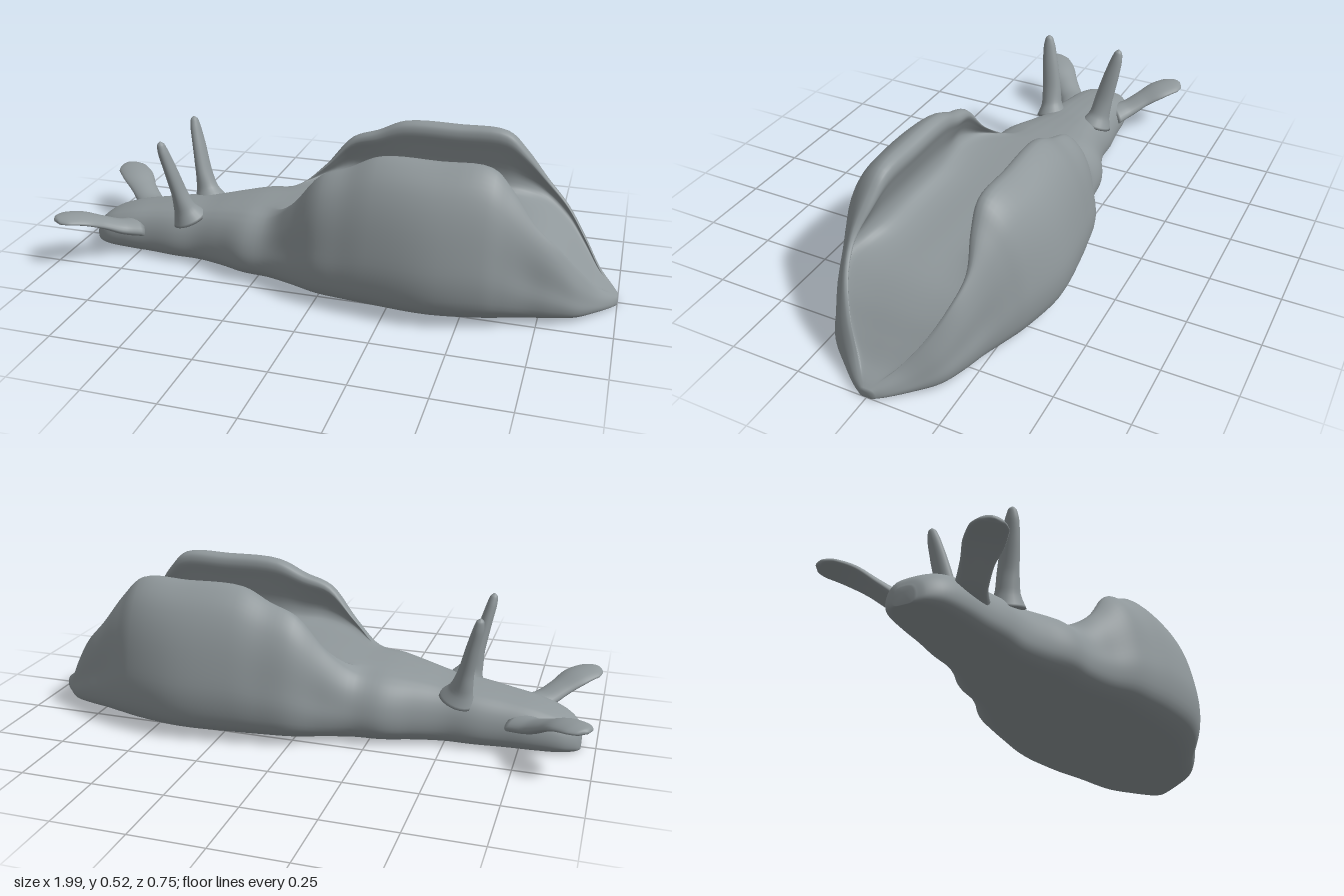
import * as THREE from 'three';

const skin = new THREE.MeshStandardMaterial({ color: 0x8f979a });
skin.name = 'grey skin';

// Closed smooth skin over rings of points, each end closed to its centre
function loft(rings) {
  const n = rings[0].length, pos = [], idx = [];
  rings.forEach(r => r.forEach(p => pos.push(p.x, p.y, p.z)));
  for (let i = 0; i < rings.length - 1; i++) {
    for (let j = 0; j < n; j++) {
      const a = i * n + j, b = i * n + (j + 1) % n;
      idx.push(a, a + n, b, b, a + n, b + n);
    }
  }
  const last = (rings.length - 1) * n;
  [rings[0], rings[rings.length - 1]].forEach((r, end) => {
    const c = r.reduce((s, p) => s.add(p), new THREE.Vector3()).divideScalar(n);
    const k = pos.length / 3;
    pos.push(c.x, c.y, c.z);
    for (let j = 0; j < n; j++) {
      const a = end * last + j, b = end * last + (j + 1) % n;
      if (end) idx.push(k, b, a); else idx.push(k, a, b);
    }
  });
  const g = new THREE.BufferGeometry();
  g.setAttribute('position', new THREE.Float32BufferAttribute(pos, 3));
  g.setIndex(idx);
  g.computeVertexNormals();
  return g;
}

// Half outline of a plain domed section: [z / width, y / height]
const dome = [[0, 0], [0.5, 0], [0.8, 0.06], [0.96, 0.2], [1, 0.38], [0.96, 0.58], [0.87, 0.74], [0.76, 0.85],
  [0.66, 0.91], [0.58, 0.945], [0.5, 0.965], [0.42, 0.98], [0.34, 0.99], [0.25, 0.995], [0.14, 1], [0, 1]];
// Outer flap: [z / width, y / top]; flap rim: [z from lip to width, y / top]; inside: [z / lip, y from floor to top]
const outer = [[0, 0], [0.53, 0.005], [0.8, 0.04], [0.95, 0.13], [1, 0.3], [0.965, 0.5]];
const rim = [[0.76, 0.75], [0.52, 0.91], [0.2, 1], [0.04, 0.985]];
const inside = [[1, 0.85], [1.1, 0.66], [1.24, 0.34], [1.17, 0.13], [0.85, 0.02], [0, 0]];

// Body stations: x, half width, flap top, floor height, lip z, flap amount
const stations = [
  [-0.95, 0.035, 0.055, 0.055, 0.02, 0],
  [-0.935, 0.065, 0.085, 0.085, 0.04, 0],
  [-0.89, 0.1, 0.118, 0.118, 0.07, 0],
  [-0.8, 0.12, 0.15, 0.15, 0.1, 0],
  [-0.7, 0.13, 0.17, 0.17, 0.1, 0],
  [-0.6, 0.145, 0.187, 0.187, 0.1, 0],
  [-0.5, 0.15, 0.2, 0.2, 0.12, 0],
  [-0.4, 0.18, 0.222, 0.222, 0.14, 0],
  [-0.3, 0.222, 0.24, 0.24, 0.17, 0],
  [-0.2, 0.235, 0.255, 0.25, 0.18, 0.15],
  [-0.1, 0.27, 0.34, 0.262, 0.18, 0.75],
  [0, 0.32, 0.43, 0.27, 0.175, 1],
  [0.1, 0.342, 0.47, 0.272, 0.165, 1],
  [0.2, 0.36, 0.515, 0.272, 0.155, 1],
  [0.4, 0.377, 0.52, 0.272, 0.155, 1],
  [0.57, 0.342, 0.515, 0.272, 0.155, 1],
  [0.64, 0.31, 0.45, 0.268, 0.17, 1],
  [0.72, 0.268, 0.345, 0.245, 0.195, 1],
  [0.8, 0.236, 0.27, 0.195, 0.18, 0.9],
  [0.87, 0.195, 0.185, 0.13, 0.14, 0.7],
  [0.93, 0.125, 0.105, 0.075, 0.08, 0.4],
  [0.98, 0.06, 0.052, 0.045, 0.03, 0.1],
  [1, 0.025, 0.03, 0.03, 0.01, 0],
];

function bodyRing([x, w, top, floor, lip, k]) {
  const flap = [
    ...outer.map(([z, y]) => [z * w, y * top]),
    ...rim.map(([z, y]) => [lip + z * (w - lip), y * top]),
    ...inside.map(([z, y]) => [lip * z, floor + y * (top - floor)]),
  ];
  const half = dome.map(([z, y], i) => new THREE.Vector3(x,
    THREE.MathUtils.lerp(y * floor, flap[i][1], k),
    THREE.MathUtils.lerp(z * w, flap[i][0], k)));
  const mirrored = half.slice(1, -1).reverse().map(p => new THREE.Vector3(p.x, p.y, -p.z));
  const curve = new THREE.CatmullRomCurve3([...half, ...mirrored], true);
  return curve.getPoints(120).slice(0, 120);
}

function bodyGeometry() {
  const rings = stations.map(bodyRing);
  const lines = rings[0].map((_, j) => new THREE.CatmullRomCurve3(rings.map(r => r[j])).getPoints(110));
  return loft(lines[0].map((_, i) => lines.map(l => {
    l[i].y = Math.max(0, l[i].y);
    return l[i];
  })));
}

// Tapered flattened lobe; each point is [x, y, z, half width, half thickness], bend cups the blade
function lobe(points, side, bend) {
  const path = new THREE.CatmullRomCurve3(points.map(p => new THREE.Vector3(p[0], p[1], p[2])));
  const size = new THREE.CatmullRomCurve3(points.map(p => new THREE.Vector3(p[3], p[4], 0)));
  const rings = [];
  for (let i = 0; i <= 32; i++) {
    const t = i / 32, c = path.getPoint(t), s = size.getPoint(t), dir = path.getTangent(t);
    const u = side.clone().addScaledVector(dir, -side.dot(dir)).normalize();
    const v = dir.clone().cross(u);
    rings.push(Array.from({ length: 24 }, (_, j) => {
      const a = j / 24 * Math.PI * 2, cu = Math.cos(a);
      return c.clone().addScaledVector(u, cu * s.x).addScaledVector(v, -Math.sin(a) * s.y + bend * cu * cu * s.x);
    }));
  }
  return loft(rings);
}

// Mirror across the long axis, flipping the faces
function mirrorZ(geometry) {
  const g = geometry.clone().scale(1, 1, -1), index = g.index.array;
  for (let i = 0; i < index.length; i += 3) [index[i], index[i + 1]] = [index[i + 1], index[i]];
  g.computeVertexNormals();
  return g;
}

export function createModel() {
  const model = new THREE.Group();
  model.name = 'seaSlug';
  const add = (name, geometry) => {
    const mesh = new THREE.Mesh(geometry, skin);
    mesh.name = name;
    model.add(mesh);
  };

  // Foot, head and the two raised side flaps
  add('bodyWithFlaps', bodyGeometry());

  // Upright horns behind the head
  const horn = lobe([
    [-0.535, 0.16, 0.095, 0.06, 0.065],
    [-0.55, 0.205, 0.104, 0.04, 0.04],
    [-0.565, 0.27, 0.113, 0.036, 0.027],
    [-0.585, 0.36, 0.13, 0.031, 0.022],
    [-0.602, 0.43, 0.143, 0.023, 0.018],
    [-0.608, 0.46, 0.147, 0.014, 0.013],
    [-0.609, 0.47, 0.148, 0.003, 0.003],
  ], new THREE.Vector3(0.15, 0, 1), 0);

  // Paddle-shaped feelers beside the mouth
  const feeler = lobe([
    [-0.75, 0.1, 0.08, 0.07, 0.03],
    [-0.8, 0.11, 0.125, 0.05, 0.025],
    [-0.85, 0.14, 0.17, 0.05, 0.02],
    [-0.9, 0.172, 0.22, 0.061, 0.017],
    [-0.945, 0.184, 0.262, 0.057, 0.014],
    [-0.97, 0.184, 0.284, 0.036, 0.011],
    [-0.979, 0.182, 0.292, 0.006, 0.004],
  ], new THREE.Vector3(-0.7, 0, -0.7), 0.12);

  for (const [side, place] of [['back', mirrorZ], ['front', g => g]]) {
    add(side + 'Horn', place(horn));
    add(side + 'Feeler', place(feeler));
  }
  return model;
}
